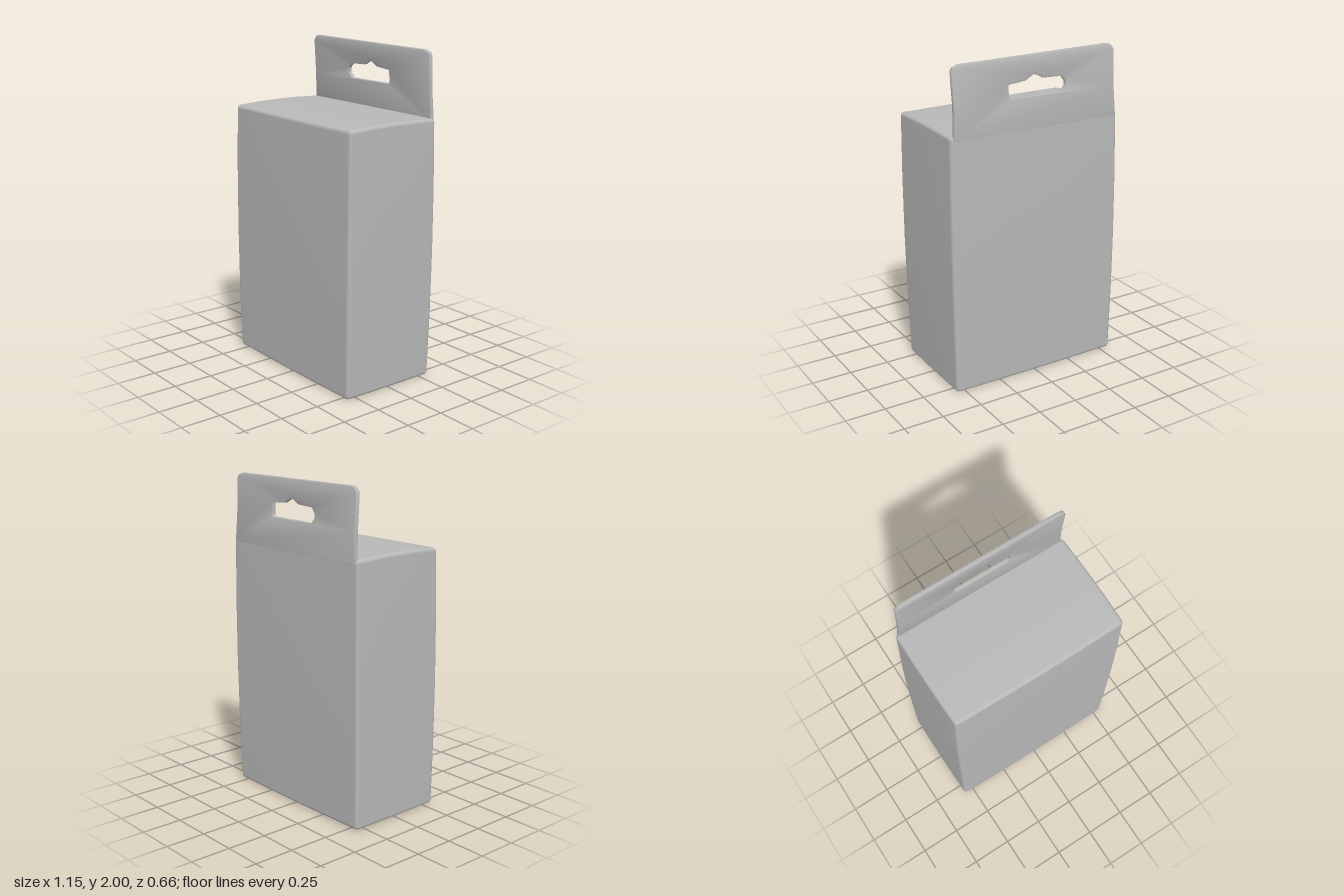
import * as THREE from 'three';
import { mergeVertices, toCreasedNormals } from 'three/addons/utils/BufferGeometryUtils.js';

const cardboard = new THREE.MeshStandardMaterial({ color: 0xb8b8b8 });
cardboard.name = 'grey cardboard';

// Carton with rounded edges and gently swollen walls
function cartonGeometry() {
  const half = new THREE.Vector3(0.561, 0.798, 0.317), r = 0.022, n = 8;
  const geo = new THREE.BoxGeometry(2, 2, 2, n, n, n);
  geo.deleteAttribute('normal');
  geo.deleteAttribute('uv');
  const pos = geo.attributes.position;
  const p = new THREE.Vector3(), core = new THREE.Vector3(), d = new THREE.Vector3();

  // Outer grid rows form the rounded edge, inner rows spread over the flat face
  const place = (t, h) => {
    const i = Math.round(Math.abs(t) * n / 2), s = Math.sign(t);
    return s * (i === 4 ? h : i === 3 ? h - r * 0.55 : (h - r) * i / 2);
  };
  for (let i = 0; i < pos.count; i++) {
    p.fromBufferAttribute(pos, i);
    p.set(place(p.x, half.x), place(p.y, half.y), place(p.z, half.z));
    const inner = half.clone().subScalar(r);
    core.copy(p).clamp(inner.clone().negate(), inner);
    d.copy(p).sub(core).normalize().multiplyScalar(r);
    p.copy(core).add(d);

    const u = p.x / half.x, v = p.y / half.y, w = p.z / half.z;
    const x = p.x + u * 0.009 * (1 - v * v) + u * 0.004 * (1 - w * w)
      + (u > 0 ? 0.008 * u * v : 0.003 * v * -u) - 0.002 * u * w;
    const y = p.y + 0.8 + Math.max(v, 0) * 0.010 * (1 - w * w) - 0.002 * u;
    const z = p.z + w * (0.007 * (1 - u * u) + 0.008 * (1 - v * v));
    pos.setXYZ(i, x, y, z);
  }
  const welded = mergeVertices(geo, 1e-5);
  welded.computeVertexNormals();
  return welded;
}

// Hanging tab with a punched slot, leaning slightly forward
function tabGeometry() {
  const toPoints = (list) => list.map(([x, y]) => new THREE.Vector2(x, y));
  const shape = new THREE.Shape(toPoints([
    [-0.54, 1.575], [0.545, 1.575], [0.538, 1.76], [0.545, 1.955], [0.535, 1.975],
    [0.5, 1.988], [-0.49, 1.996], [-0.51, 1.99], [-0.53, 1.965], [-0.53, 1.75],
  ]));
  shape.holes.push(new THREE.Path(toPoints([
    [-0.165, 1.756], [-0.195, 1.79], [-0.195, 1.82], [-0.165, 1.853], [-0.04, 1.858],
    [-0.015, 1.873], [0.022, 1.888], [0.05, 1.873], [0.08, 1.856], [0.195, 1.845],
    [0.195, 1.77], [0.18, 1.756],
  ])));
  const geo = new THREE.ExtrudeGeometry(shape, {
    depth: 0.016, bevelEnabled: true, bevelThickness: 0.005, bevelSize: 0.005,
    bevelOffset: -0.001, bevelSegments: 2,
  });
  const pos = geo.attributes.position;
  for (let i = 0; i < pos.count; i++) {
    const y = pos.getY(i);
    const lean = -0.311 + 0.058 * (y - 1.6);
    pos.setZ(i, pos.getZ(i) - 0.008 + lean);
  }
  return toCreasedNormals(geo, 0.7);
}

export function createModel() {
  const group = new THREE.Group();
  group.name = 'hangingCarton';
  const carton = new THREE.Mesh(cartonGeometry(), cardboard);
  carton.name = 'carton';
  const tab = new THREE.Mesh(tabGeometry(), cardboard);
  tab.name = 'hangingTab';
  group.add(carton, tab);
  return group;
}
